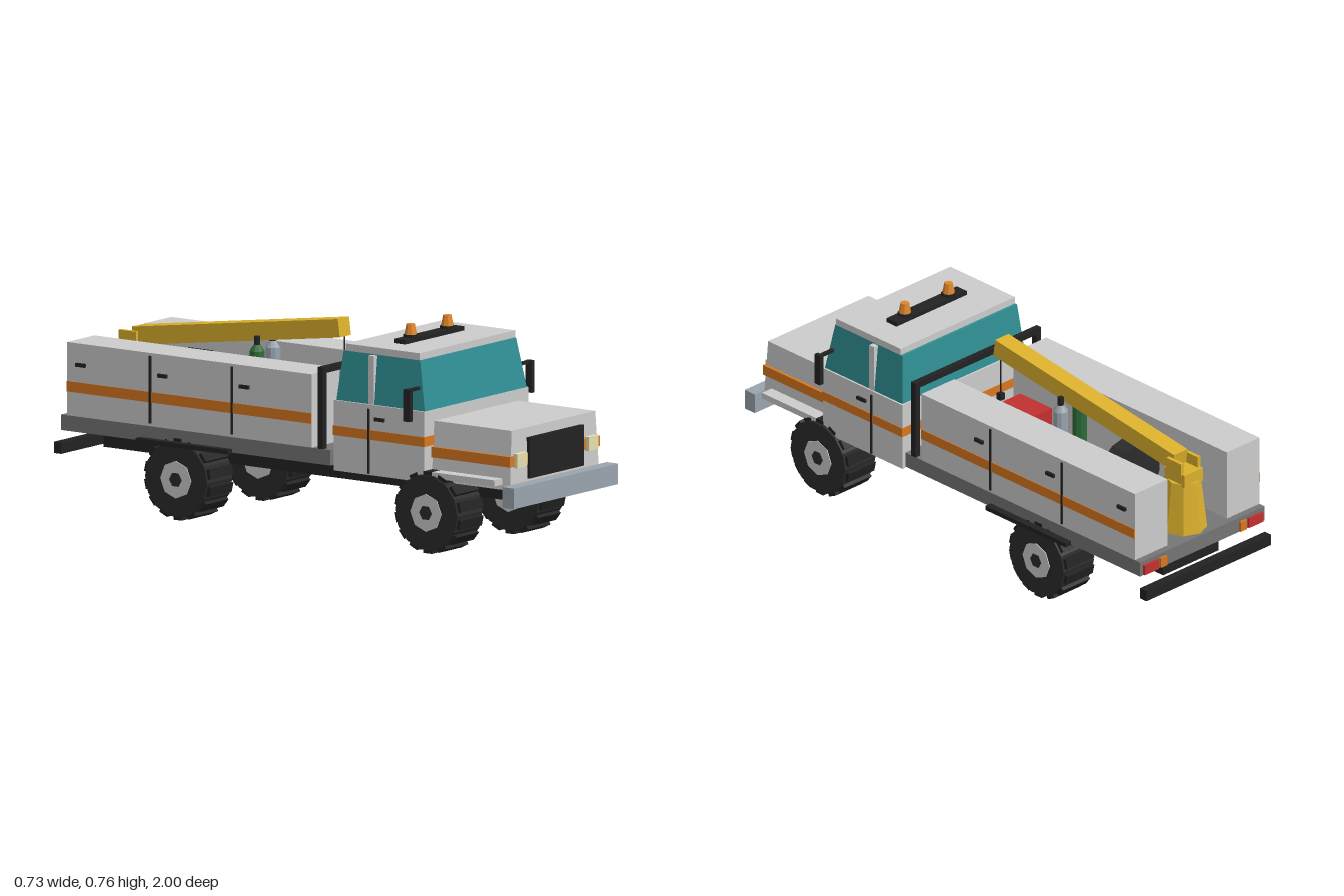
import * as THREE from 'three';

const mat = (color) => new THREE.MeshStandardMaterial({ color, flatShading: true });
const M = {
  grey: mat(0xcccccc), deck: mat(0x757575), dark: mat(0x222222), tyre: mat(0x2b2b2b),
  orange: mat(0xd9771f), teal: mat(0x2f8f93), gold: mat(0xdbb02c), steel: mat(0x9aa4ae),
  cream: mat(0xe6dfb0), red: mat(0xc23030), green: mat(0x2f6b38), amber: mat(0xe0862a),
};

export function createModel() {
  const root = new THREE.Group();
  const add = (name, geo, m, parent = root) => {
    const mesh = new THREE.Mesh(geo, m);
    mesh.name = name;
    parent.add(mesh);
    return mesh;
  };
  // Box given by its limits on each axis
  const box = (name, m, [x0, x1], [y0, y1], [z0, z1], parent = root) => {
    const mesh = add(name, new THREE.BoxGeometry(x1 - x0, y1 - y0, z1 - z0), m, parent);
    mesh.position.set((x0 + x1) / 2, (y0 + y1) / 2, (z0 + z1) / 2);
    return mesh;
  };
  // The same box on both sides
  const pair = (name, m, [x0, x1], y, z) => {
    box(name, m, [x0, x1], y, z);
    box(name, m, [-x1, -x0], y, z);
  };
  // Box whose top rectangle differs from its bottom one
  const tapered = (name, m, y, bottom, top) => {
    const g = new THREE.BoxGeometry(1, 1, 1);
    const p = g.attributes.position;
    for (let i = 0; i < p.count; i++) {
      const up = p.getY(i) > 0;
      const [hx, z0, z1] = up ? top : bottom;
      p.setXYZ(i, Math.sign(p.getX(i)) * hx, up ? y[1] : y[0], p.getZ(i) > 0 ? z1 : z0);
    }
    g.computeVertexNormals();
    return add(name, g, m);
  };
  const cyl = (name, m, rTop, rBottom, y0, y1, x, z, sides) => {
    const mesh = add(name, new THREE.CylinderGeometry(rTop, rBottom, y1 - y0, sides), m);
    mesh.position.set(x, (y0 + y1) / 2, z);
    return mesh;
  };

  // Chassis and bumpers
  box('chassis', M.dark, [-0.135, 0.135], [0.187, 0.257], [-0.91, 0.95]);
  box('frontBumper', M.steel, [-0.305, 0.305], [0.197, 0.27], [0.95, 1]);
  box('rearBumper', M.dark, [-0.305, 0.305], [0.18, 0.22], [-1, -0.968]);

  // Hood, front fenders, grille and headlights
  tapered('hood', M.grey, [0.25, 0.46], [0.26, 0.61, 0.95], [0.245, 0.61, 0.945]);
  box('hoodStripe', M.orange, [-0.263, 0.263], [0.333, 0.37], [0.61, 0.952]);
  pair('frontFender', M.grey, [0.22, 0.305], [0.268, 0.29], [0.6, 0.915]);
  box('grille', M.dark, [-0.158, 0.158], [0.28, 0.425], [0.93, 0.96]);
  pair('headlight', M.cream, [0.18, 0.238], [0.328, 0.378], [0.93, 0.965]);

  // Cab with greenhouse, pillars and roof
  box('cabBody', M.grey, [-0.305, 0.305], [0.25, 0.5], [0.215, 0.61]);
  tapered('windows', M.teal, [0.5, 0.675], [0.298, 0.222, 0.608], [0.28, 0.24, 0.575]);
  box('roof', M.grey, [-0.28, 0.28], [0.672, 0.7], [0.25, 0.572]);
  pair('doorPillar', M.grey, [0.275, 0.3], [0.49, 0.672], [0.362, 0.386]);
  box('cabStripe', M.orange, [-0.308, 0.308], [0.376, 0.41], [0.213, 0.613]);
  pair('cabDoorSeam', M.dark, [0.3, 0.3095], [0.255, 0.485], [0.364, 0.371]);
  pair('cabDoorHandle', M.dark, [0.3, 0.313], [0.445, 0.457], [0.395, 0.437]);
  pair('mirrorArm', M.dark, [0.29, 0.365], [0.573, 0.584], [0.57, 0.582]);
  pair('mirror', M.dark, [0.348, 0.365], [0.47, 0.584], [0.565, 0.592]);

  // Roof light bar with beacons
  box('lightBar', M.dark, [-0.172, 0.172], [0.699, 0.715], [0.38, 0.43]);
  for (const x of [-0.107, 0.107]) {
    cyl('beaconBase', M.dark, 0.026, 0.026, 0.714, 0.725, x, 0.405, 8);
    cyl('beacon', M.amber, 0.015, 0.022, 0.725, 0.762, x, 0.405, 8);
  }

  // Rear deck, guard rack and side lockers
  box('deck', M.deck, [-0.305, 0.305], [0.265, 0.32], [-0.968, 0.2]);
  pair('rackPost', M.dark, [0.285, 0.307], [0.32, 0.61], [0.148, 0.17]);
  box('rackBar', M.dark, [-0.307, 0.307], [0.588, 0.61], [0.148, 0.17]);
  pair('locker', M.grey, [0.145, 0.305], [0.32, 0.58], [-0.942, 0.12]);
  pair('lockerStripe', M.orange, [0.3, 0.308], [0.405, 0.442], [-0.942, 0.12]);
  for (const z of [-0.225, -0.58])
    pair('lockerSeam', M.dark, [0.3, 0.3095], [0.33, 0.57], [z - 0.004, z + 0.004]);
  for (const z of [-0.17, -0.525, -0.88])
    pair('lockerHandle', M.dark, [0.3, 0.314], [0.498, 0.511], [z - 0.02, z + 0.02]);
  pair('rearFender', M.dark, [0.165, 0.332], [0.262, 0.278], [-0.625, -0.225]);
  pair('tailLight', M.red, [0.22, 0.29], [0.268, 0.305], [-0.977, -0.965]);
  pair('turnSignal', M.orange, [0.18, 0.21], [0.268, 0.305], [-0.977, -0.965]);

  // Crane: turret, forked head, boom, cable and hook
  cyl('craneTurret', M.gold, 0.06, 0.082, 0.32, 0.51, 0, -0.875, 8);
  box('craneHead', M.gold, [-0.045, 0.045], [0.5, 0.55], [-0.925, -0.825]);
  pair('craneFork', M.gold, [0.033, 0.047], [0.54, 0.59], [-0.91, -0.835]);
  const boom = add('craneBoom', new THREE.BoxGeometry(0.066, 0.065, 0.9), M.gold);
  boom.position.set(0, 0.633, -0.4105);
  boom.rotation.x = -0.137;
  cyl('craneCable', M.dark, 0.003, 0.003, 0.5, 0.665, 0, 0.036, 6);
  box('craneHook', M.dark, [-0.01, 0.01], [0.48, 0.505], [0.026, 0.046]);

  // Cargo: tool chest, gas bottles and spare tyre
  box('toolChest', M.red, [-0.092, 0.092], [0.32, 0.47], [-0.125, 0.032]);
  for (const [x, m] of [[-0.048, M.green], [0.045, M.steel]]) {
    cyl('gasBottle', m, 0.026, 0.026, 0.32, 0.58, x, -0.308, 10);
    cyl('gasBottleNeck', m, 0.012, 0.026, 0.58, 0.602, x, -0.308, 10);
    cyl('gasBottleValve', M.dark, 0.011, 0.011, 0.602, 0.632, x, -0.308, 8);
  }
  const spare = cyl('spareTyre', M.tyre, 0.115, 0.115, 0.4, 0.47, 0, -0.605, 14);
  spare.position.y = 0.435;
  spare.rotation.x = Math.PI / 2;

  // Wheels with tread blocks
  const makeWheel = (side, z) => {
    const wheel = new THREE.Group();
    wheel.name = 'wheel';
    const disc = (name, m, r, width, sides, x) => {
      const g = new THREE.CylinderGeometry(r, r, width, sides).rotateZ(Math.PI / 2);
      add(name, g, m, wheel).position.x = x;
    };
    disc('tyre', M.tyre, 0.135, 0.148, 14, 0);
    disc('rim', M.grey, 0.067, 0.154, 8, 0);
    disc('hub', M.tyre, 0.027, 0.158, 6, 0);
    for (let i = 0; i < 14; i++) {
      const lug = add('treadBlock', new THREE.BoxGeometry(0.132, 0.018, 0.036), M.dark, wheel);
      const a = (i / 14) * Math.PI * 2;
      lug.position.set(0, Math.cos(a) * 0.136, Math.sin(a) * 0.136);
      lug.rotation.x = a;
    }
    wheel.position.set(side * 0.24, 0.145, z);
    root.add(wheel);
  };
  for (const side of [-1, 1]) for (const z of [0.626, -0.462]) makeWheel(side, z);

  return root;
}
